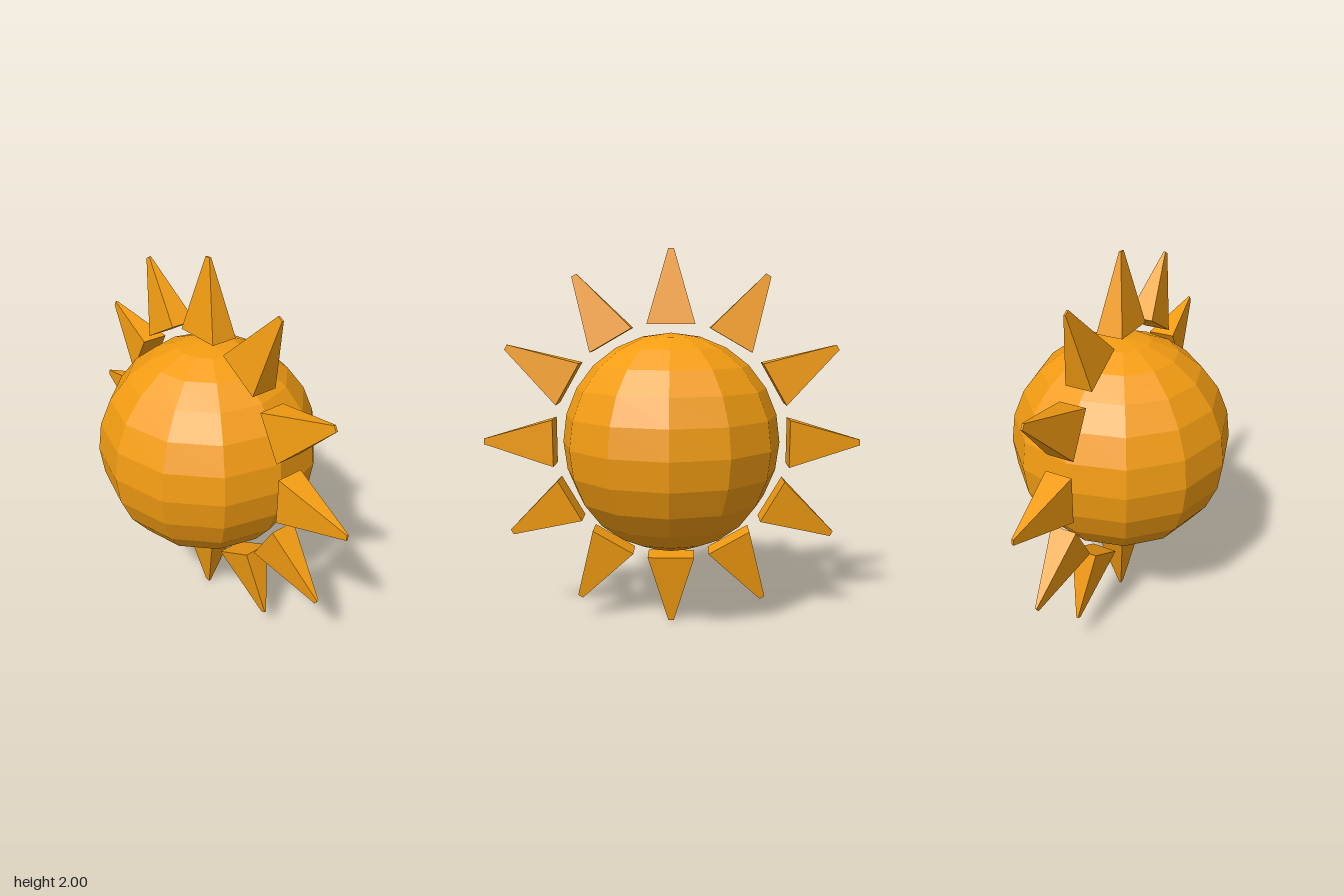
import * as THREE from 'three';

const CENTRE_Y = 1;
const RAY_COUNT = 12;
const RAY_INNER = 0.62;
const RAY_OUTER = 1;

// Four-sided spike: a box whose outer end is narrowed to a small tip
function rayGeometry() {
  const length = RAY_OUTER - RAY_INNER;
  const geometry = new THREE.BoxGeometry(0.25, length, 0.14);
  const p = geometry.attributes.position;
  for (let i = 0; i < p.count; i++) {
    if (p.getY(i) > 0) {
      p.setX(i, p.getX(i) * 0.12);
      p.setZ(i, p.getZ(i) * 0.07);
    }
  }
  geometry.translate(0, RAY_INNER + length / 2, 0);
  geometry.computeVertexNormals();
  return geometry;
}

export function createModel() {
  const model = new THREE.Group();
  model.name = 'sun';
  const orange = new THREE.MeshStandardMaterial({ color: 0xf39c12, flatShading: true });

  // Faceted ball
  const ball = new THREE.Mesh(new THREE.SphereGeometry(0.575, 12, 12), orange);
  ball.name = 'ball';
  ball.position.y = CENTRE_Y;
  model.add(ball);

  // Ring of rays around the ball
  const rays = new THREE.Group();
  rays.name = 'rays';
  rays.position.y = CENTRE_Y;
  const geometry = rayGeometry();
  for (let i = 0; i < RAY_COUNT; i++) {
    const ray = new THREE.Mesh(geometry, orange);
    ray.name = `ray${i + 1}`;
    ray.rotation.z = (i / RAY_COUNT) * Math.PI * 2;
    rays.add(ray);
  }
  model.add(rays);

  return model;
}
